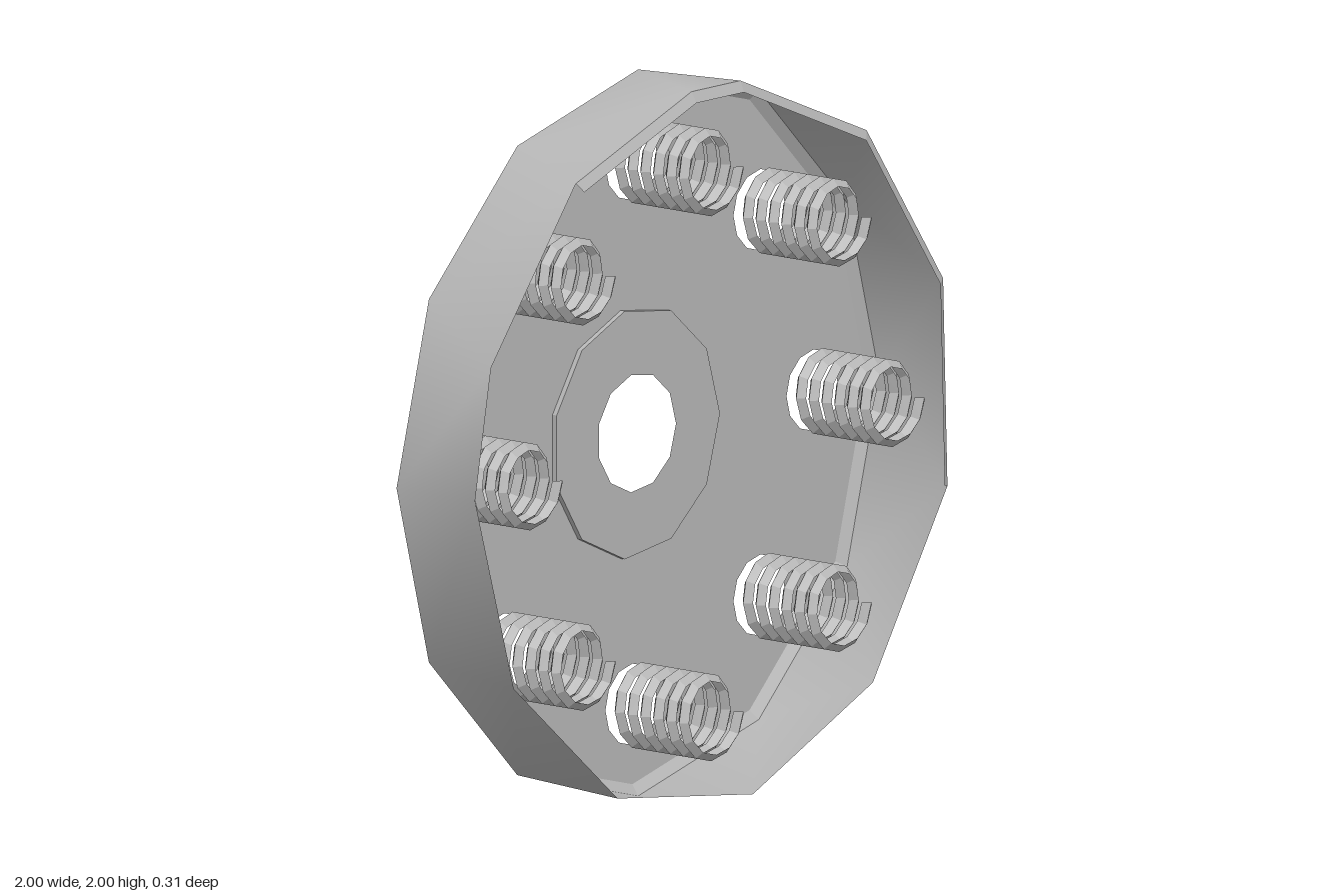
import * as THREE from 'three';

const rad = THREE.MathUtils.degToRad;
const Z_BACK = -0.155, Z_FRONT = 0.155;
const HOLES = 8, HOLE_CIRCLE = 0.75;

// Point at an angle in degrees around the disc axis
const polar = (deg, r, z) => [r * Math.cos(rad(deg)), r * Math.sin(rad(deg)), z];

// Regular polygon outline for shapes and holes
function polygon(r, sides, cx = 0, cy = 0, Type = THREE.Path) {
  const pts = [];
  for (let i = 0; i < sides; i++) {
    const a = (i / sides) * Math.PI * 2;
    pts.push(new THREE.Vector2(cx + r * Math.cos(a), cy + r * Math.sin(a)));
  }
  return new Type(pts);
}

// Skin a list of equal-length rows of points
function skin(rows, closed, flat) {
  const n = rows[0].length, index = [];
  for (let j = 0; j < rows.length - 1; j++) {
    for (let i = 0; i < (closed ? n : n - 1); i++) {
      const k = (i + 1) % n;
      const a = j * n + i, b = j * n + k, c = a + n, d = b + n;
      index.push(a, b, c, b, d, c);
    }
  }
  let geo = new THREE.BufferGeometry();
  geo.setAttribute('position', new THREE.Float32BufferAttribute(rows.flat(2), 3));
  geo.setIndex(index);
  if (flat) geo = geo.toNonIndexed();
  geo.computeVertexNormals();
  return geo;
}

// Helical V-shaped thread ribbon with a narrow gap between turns
function threadGeometry() {
  const turns = 6, steps = 12, pitch = (Z_FRONT - Z_BACK) / (turns + 0.8);
  const section = [[0.1, 0], [0.12, 0.4], [0.1, 0.8]];
  const rows = section.map(([r, dz]) => {
    const row = [];
    for (let i = 0; i <= turns * steps; i++) {
      row.push(polar((i * 360) / steps, r, Z_BACK + pitch * (i / steps + dz)));
    }
    return row;
  });
  return skin(rows, false, true);
}

export function createModel() {
  const model = new THREE.Group();
  model.name = 'flangeDisc';
  const steel = new THREE.MeshStandardMaterial({ color: 0xb6b6b6, side: THREE.DoubleSide });
  steel.name = 'grey metal';

  const disc = new THREE.Group();
  disc.name = 'disc';
  disc.position.y = 1;
  model.add(disc);
  const add = (name, geo, z = 0) => {
    const mesh = new THREE.Mesh(geo, steel);
    mesh.name = name;
    mesh.position.z = z;
    disc.add(mesh);
    return mesh;
  };

  // Rim corners: a regular back polygon and a twisted front polygon
  const backAngles = Array.from({ length: 12 }, (_, i) => i * 30);
  const frontAngles = [18.6, 51, 84, 95.7, 125.5, 159, 180, 213, 246, 279, 311, 345];
  const ring = (angles, r, z) => angles.map((a) => polar(a, r, z));

  // Outer wall, paired so that back corner 0 meets front corner 0
  add('rimWall', skin([ring(backAngles, 1, -0.135), ring(frontAngles, 0.995, 0.14)], true, false));
  add('backChamfer', skin([ring(backAngles, 0.97, Z_BACK), ring(backAngles, 1, -0.135)], true, true));

  // Front lip remains only along the upper right of the rim
  const lip = [345, 378.6, 411, 444, 455.7, 485.5];
  add('frontLip', skin([ring(lip, 0.995, 0.14), ring(lip, 0.965, Z_FRONT)], false, true));

  // Back plate with bolt holes and a central opening
  const plate = polygon(0.97, 12, 0, 0, THREE.Shape);
  plate.holes.push(polygon(0.345, 11));
  const thread = threadGeometry();
  for (let i = 0; i < HOLES; i++) {
    const [x, y] = polar((i * 360) / HOLES, HOLE_CIRCLE, 0);
    plate.holes.push(polygon(0.112, 12, x, y));
    const mesh = add('boltThread' + (i + 1), thread);
    mesh.position.set(x, y, 0);
  }
  add('backPlate', new THREE.ShapeGeometry(plate), Z_BACK);

  // Central hub disc, stepped slightly towards the front
  const hub = polygon(0.345, 11, 0, 0, THREE.Shape);
  hub.holes.push(polygon(0.163, 11));
  add('hubDisc', new THREE.ShapeGeometry(hub), Z_BACK + 0.015);
  const hubAngles = Array.from({ length: 11 }, (_, i) => (i * 360) / 11);
  add('hubStep', skin([ring(hubAngles, 0.345, Z_BACK), ring(hubAngles, 0.345, Z_BACK + 0.015)], true, true));

  return model;
}
